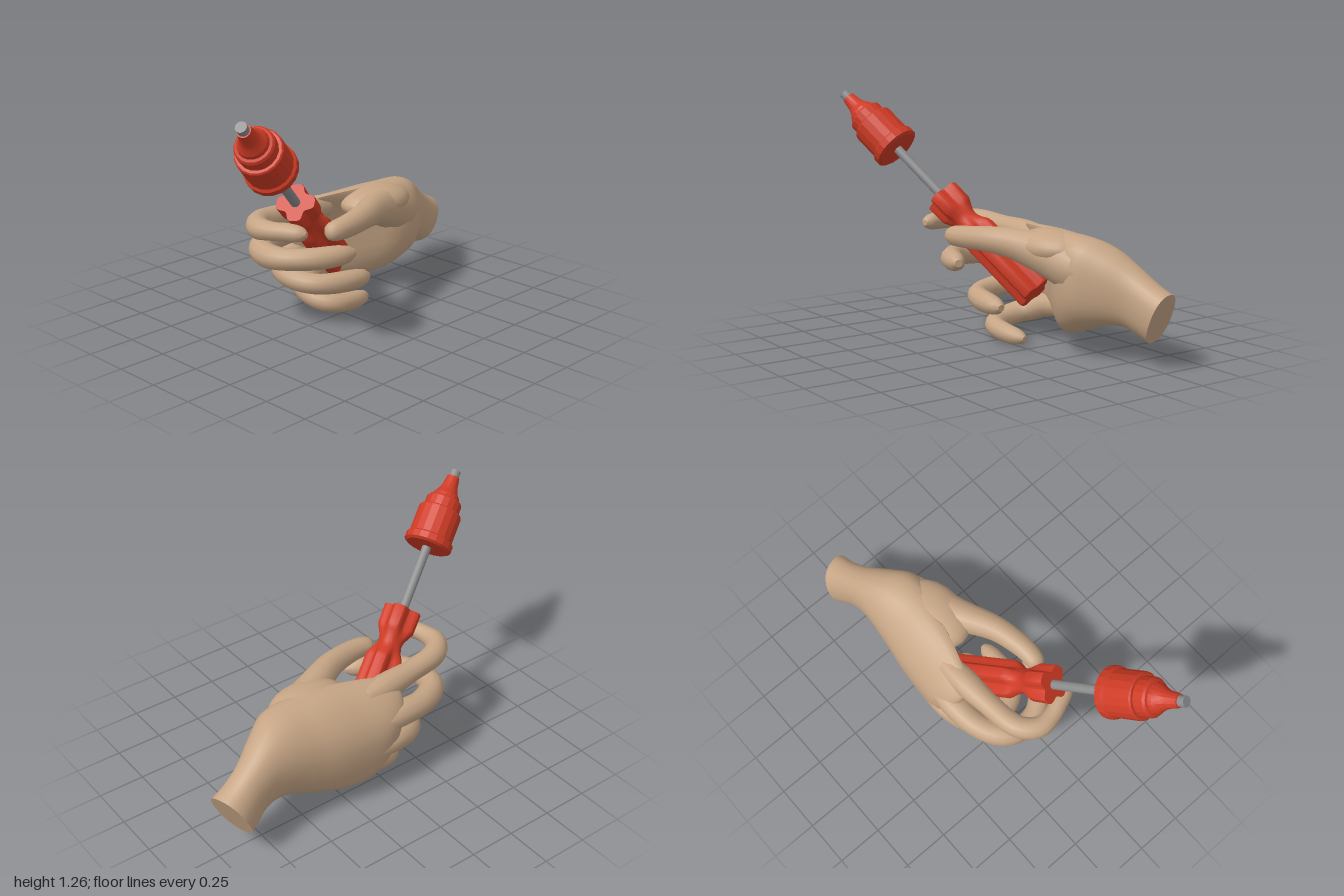
import * as THREE from 'three';
import { toCreasedNormals } from 'three/addons/utils/BufferGeometryUtils.js';

const skin = new THREE.MeshStandardMaterial({ color: 0xc6a585 });
const red = new THREE.MeshStandardMaterial({ color: 0xcf3b25 });
const steel = new THREE.MeshStandardMaterial({ color: 0x8c8c8c });

// Smoothly resample rows of numbers, column by column
function spline(rows, n) {
  const curves = rows[0].map((_, c) =>
    new THREE.SplineCurve(rows.map(r => new THREE.Vector2(r[c], 0))));
  return Array.from({ length: n + 1 }, (_, i) => curves.map(c => c.getPoint(i / n).x));
}

// Closed skin over rings of points, each ring counter-clockwise about the sweep direction
function loft(rings, crease) {
  const m = rings[0].length, pos = [], idx = [];
  rings.forEach(r => r.forEach(p => pos.push(p.x, p.y, p.z)));
  const centre = ring => {
    const c = ring.reduce((s, p) => s.add(p), new THREE.Vector3()).divideScalar(m);
    pos.push(c.x, c.y, c.z);
    return pos.length / 3 - 1;
  };
  const a = centre(rings[0]), b = centre(rings[rings.length - 1]);
  const last = (rings.length - 1) * m;
  for (let j = 0; j < m; j++) {
    const k = (j + 1) % m;
    for (let i = 0; i < last; i += m) {
      idx.push(i + j, i + k, i + m + j, i + k, i + m + k, i + m + j);
    }
    idx.push(a, k, j, b, last + j, last + k);
  }
  const g = new THREE.BufferGeometry();
  g.setAttribute('position', new THREE.Float32BufferAttribute(pos, 3));
  g.setIndex(idx);
  return toCreasedNormals(g, crease);
}

function ringOf(sides, fn) {
  return Array.from({ length: sides }, (_, j) => fn(j / sides * Math.PI * 2));
}

function add(group, name, geometry, material) {
  const mesh = new THREE.Mesh(geometry, material);
  mesh.name = name;
  group.add(mesh);
  return mesh;
}

// Finger: rows of x, y, z, radius, with a rounded tip
function finger(rows) {
  const n = 28, pts = spline(rows, n), up = new THREE.Vector3(0, 1, 0);
  const v = r => new THREE.Vector3(r[0], r[1], r[2]);
  return loft(pts.map((p, i) => {
    const T = v(pts[Math.min(i + 1, n)]).sub(v(pts[Math.max(i - 1, 0)])).normalize();
    const A = up.clone().cross(T).normalize(), B = T.clone().cross(A);
    const e = Math.max(0, (i / n - 0.9) / 0.108);
    const r = p[3] * Math.sqrt(1 - e * e);
    return ringOf(12, t => v(p).addScaledVector(A, r * Math.cos(t)).addScaledVector(B, r * Math.sin(t)));
  }), 0.7);
}

function buildHand() {
  const hand = new THREE.Group();
  hand.name = 'hand';

  // Palm and wrist sections: z, centre x, centre y, half width, half height, slant in y, slant in x, curl
  const sections = [
    [-0.93, -0.28, 0.25, 0.10, 0.125, -0.45, -0.32, 0],
    [-0.86, -0.262, 0.285, 0.096, 0.13, -0.35, -0.2, 0],
    [-0.78, -0.235, 0.33, 0.102, 0.147, -0.2, -0.1, 0],
    [-0.68, -0.192, 0.37, 0.135, 0.187, -0.05, 0, 0.3],
    [-0.58, -0.165, 0.38, 0.166, 0.222, 0, 0, 0.7],
    [-0.44, -0.182, 0.36, 0.163, 0.257, 0, 0, 1.1],
    [-0.30, -0.235, 0.35, 0.13, 0.272, 0, 0, 1.5],
    [-0.16, -0.285, 0.35, 0.09, 0.267, 0.1, 0, 1.9],
    [-0.03, -0.312, 0.36, 0.068, 0.24, 0.25, 0, 2],
    [0.05, -0.315, 0.37, 0.047, 0.19, 0.3, 0, 2.2],
    [0.08, -0.312, 0.37, 0.02, 0.13, 0.3, 0, 2.2]
  ];
  add(hand, 'palm', loft(spline(sections, 40).map(([z, cx, cy, rx, ry, sy, sx, k]) =>
    ringOf(28, t => {
      const c = Math.cos(t), s = Math.sin(t);
      const dx = rx * Math.sign(c) * Math.abs(c) ** 0.88, dy = ry * Math.sign(s) * Math.abs(s) ** 0.88;
      return new THREE.Vector3(cx + dx + k * Math.max(0, dy) ** 2, cy + dy, z + sy * dy + sx * dx);
    })), 0.9), skin);

  // Web of skin between thumb and palm
  const web = add(hand, 'thumbWeb', new THREE.SphereGeometry(1, 20, 14), skin);
  web.scale.set(0.15, 0.09, 0.22);
  web.position.set(-0.08, 0.535, -0.33);

  add(hand, 'thumb', finger([
    [-0.19, 0.4, -0.74, 0.03], [-0.125, 0.44, -0.56, 0.125], [-0.055, 0.495, -0.38, 0.113],
    [0.025, 0.535, -0.21, 0.084], [0.098, 0.55, -0.06, 0.068], [0.135, 0.545, 0.08, 0.06],
    [0.143, 0.54, 0.18, 0.054], [0.13, 0.535, 0.25, 0.045]
  ]), skin);

  const fingers = {
    indexFinger: [
      [-0.215, 0.53, -0.08, 0.06], [-0.21, 0.54, 0.06, 0.072], [-0.2, 0.553, 0.23, 0.06],
      [-0.175, 0.567, 0.41, 0.06], [-0.095, 0.57, 0.495, 0.058], [0, 0.575, 0.495, 0.048],
      [0.08, 0.58, 0.465, 0.047], [0.178, 0.58, 0.43, 0.04]],
    middleFinger: [
      [-0.3, 0.41, -0.08, 0.06], [-0.308, 0.415, 0.08, 0.07], [-0.29, 0.405, 0.24, 0.066],
      [-0.22, 0.4, 0.37, 0.066], [-0.11, 0.395, 0.41, 0.063], [0.01, 0.4, 0.38, 0.057],
      [0.115, 0.405, 0.27, 0.058], [0.182, 0.41, 0.1, 0.052]],
    ringFinger: [
      [-0.315, 0.28, -0.12, 0.06], [-0.318, 0.275, 0.03, 0.064], [-0.28, 0.255, 0.16, 0.061],
      [-0.2, 0.24, 0.23, 0.059], [-0.09, 0.225, 0.235, 0.056], [0.01, 0.215, 0.18, 0.054],
      [0.06, 0.208, 0.05, 0.056], [0.07, 0.2, -0.12, 0.048]],
    littleFinger: [
      [-0.29, 0.18, -0.2, 0.06], [-0.28, 0.165, -0.05, 0.063], [-0.245, 0.13, 0.05, 0.062],
      [-0.18, 0.11, 0.095, 0.059], [-0.08, 0.087, 0.1, 0.055], [-0.01, 0.07, 0.05, 0.052],
      [0.002, 0.055, -0.06, 0.049], [-0.02, 0.043, -0.2, 0.04]]
  };
  for (const [name, rows] of Object.entries(fingers)) add(hand, name, finger(rows), skin);
  return hand;
}

function buildTool() {
  const tool = new THREE.Group();
  tool.name = 'tool';

  // Handle with four broad flutes: height, radius, flute depth
  const handle = [
    [-0.735, 0.096, 0.32], [-0.725, 0.1, 0.32], [-0.29, 0.1, 0.32], [-0.265, 0.092, 0.26],
    [-0.235, 0.074, 0.12], [-0.2, 0.064, 0.02], [-0.17, 0.068, 0.06], [-0.135, 0.086, 0.2],
    [-0.11, 0.098, 0.3], [-0.005, 0.1, 0.32], [0, 0.098, 0.32]
  ];
  add(tool, 'handle', loft(handle.map(([y, r, d]) => ringOf(48, t => {
    const q = r * (1 - d * Math.max(0, Math.cos(4 * t) + 0.3) / 1.3), a = t + 1.377;
    return new THREE.Vector3(q * Math.sin(a), y, q * Math.cos(a));
  })), 0.5), red);

  // Steel shaft and tip
  add(tool, 'shaft', new THREE.CylinderGeometry(0.025, 0.025, 0.5, 16), steel).position.y = 0.2;
  add(tool, 'tip', new THREE.CylinderGeometry(0.028, 0.028, 0.08, 16), steel).position.y = 0.783;

  // Stepped chuck
  const profile = [
    [0, 0.367], [0.114, 0.367], [0.131, 0.377], [0.131, 0.412], [0.119, 0.422], [0.119, 0.575],
    [0.112, 0.583], [0.098, 0.583], [0.098, 0.638], [0.09, 0.65], [0.077, 0.654],
    [0.073, 0.672], [0.056, 0.697], [0.044, 0.725], [0.034, 0.785], [0, 0.785]
  ].map(p => new THREE.Vector2(...p));
  add(tool, 'chuck', toCreasedNormals(new THREE.LatheGeometry(profile, 18), 0.3), red);

  tool.position.set(0.08, 0.72, 0.41);
  tool.quaternion.setFromUnitVectors(new THREE.Vector3(0, 1, 0),
    new THREE.Vector3(0.265, 0.52, 0.565).normalize());
  return tool;
}

export function createModel() {
  const model = new THREE.Group();
  model.name = 'handHoldingTool';
  model.add(buildHand(), buildTool());
  return model;
}
